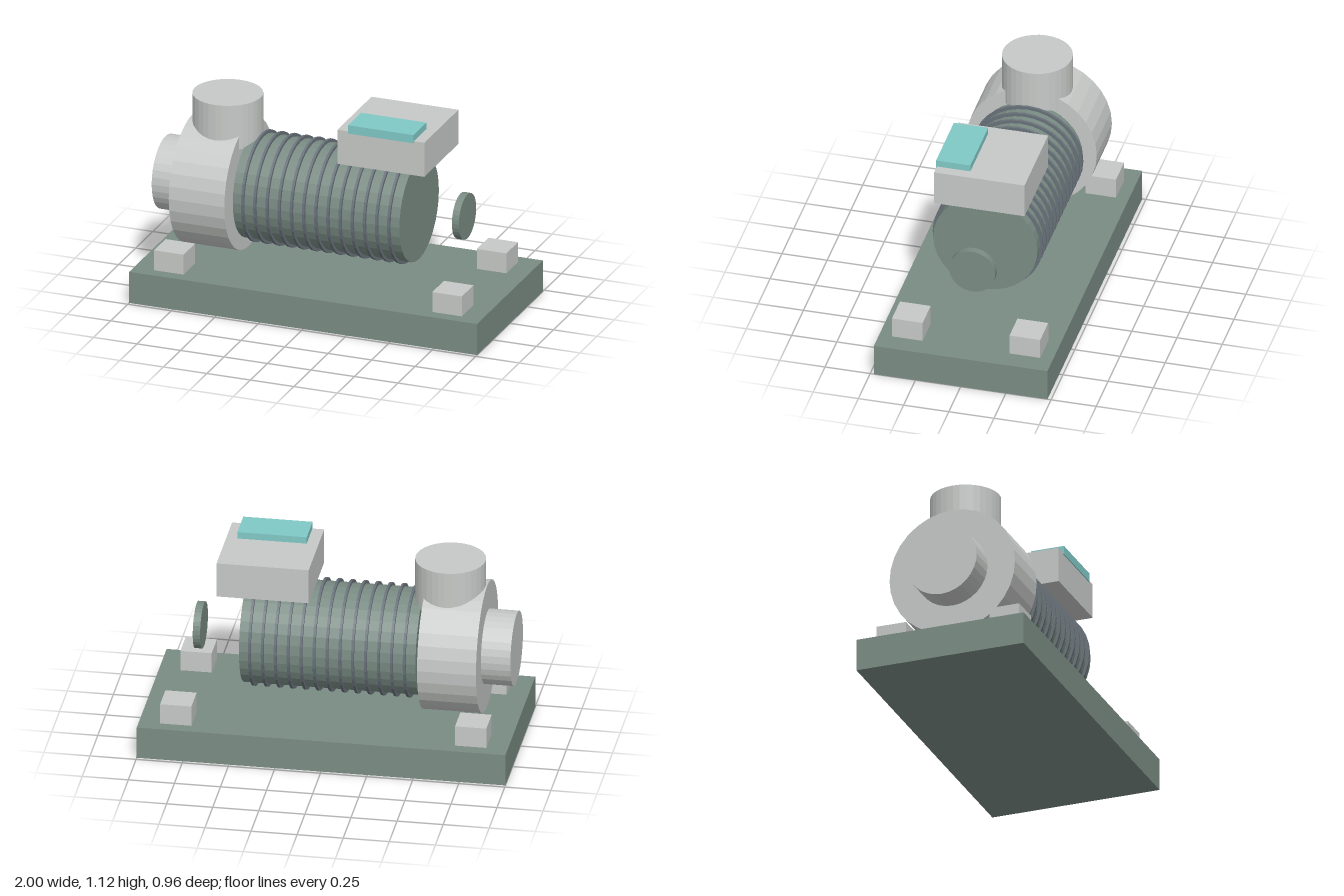
import * as THREE from 'three';

export function createModel() {
  const model = new THREE.Group();
  model.name = 'motorPump';

  const material = (name, color, flatShading = true) => {
    const m = new THREE.MeshStandardMaterial({ color, flatShading });
    m.name = name;
    return m;
  };
  const green = material('greyGreen', 0x7a8c84);
  const grey = material('lightGrey', 0xc6c9c7);
  const dark = material('slateGrey', 0x69727a);
  const teal = material('teal', 0x80c9c7);

  const add = (name, geometry, mat, x, y, z) => {
    const mesh = new THREE.Mesh(geometry, mat);
    mesh.name = name;
    mesh.position.set(x, y, z);
    model.add(mesh);
    return mesh;
  };
  const box = (name, mat, w, h, d, x, y, z) =>
    add(name, new THREE.BoxGeometry(w, h, d), mat, x, y, z);

  // Cylinder lying along x on the shaft axis
  const axisY = 0.582;
  const shaftDisc = (name, mat, radius, x0, x1) => {
    const g = new THREE.CylinderGeometry(radius, radius, x1 - x0, 32);
    g.rotateZ(Math.PI / 2);
    return add(name, g, mat, (x0 + x1) / 2, axisY, 0);
  };

  // Base plate and four mounting blocks
  box('basePlate', green, 2, 0.18, 0.96, 0, 0.09, 0);
  for (const sx of [-1, 1])
    for (const sz of [-1, 1])
      box('mountingBlock', grey, 0.17, 0.115, 0.17, sx * 0.8, 0.2375, sz * 0.325);

  // Pump casing, inlet and upright outlet
  shaftDisc('pumpCasing', grey, 0.36, -0.82, -0.5);
  shaftDisc('inlet', grey, 0.203, -0.98, -0.81);
  add('outlet', new THREE.CylinderGeometry(0.19, 0.19, 0.256, 32), grey, -0.622, 0.963, 0);

  // Motor body with cooling fins
  shaftDisc('motorBody', green, 0.288, -0.48, 0.478);
  for (let i = 0; i < 13; i++) {
    const x = -0.42 + i * 0.07;
    shaftDisc('coolingFin', dark, 0.305, x - 0.007, x + 0.007);
  }

  // Separate end disc
  shaftDisc('endDisc', green, 0.127, 0.716, 0.756);

  // Terminal box with its panel
  box('terminalBox', grey, 0.5, 0.197, 0.5, 0.356, 0.982, 0);
  box('terminalPanel', teal, 0.376, 0.048, 0.19, 0.358, 1.094, 0.16);

  return model;
}
